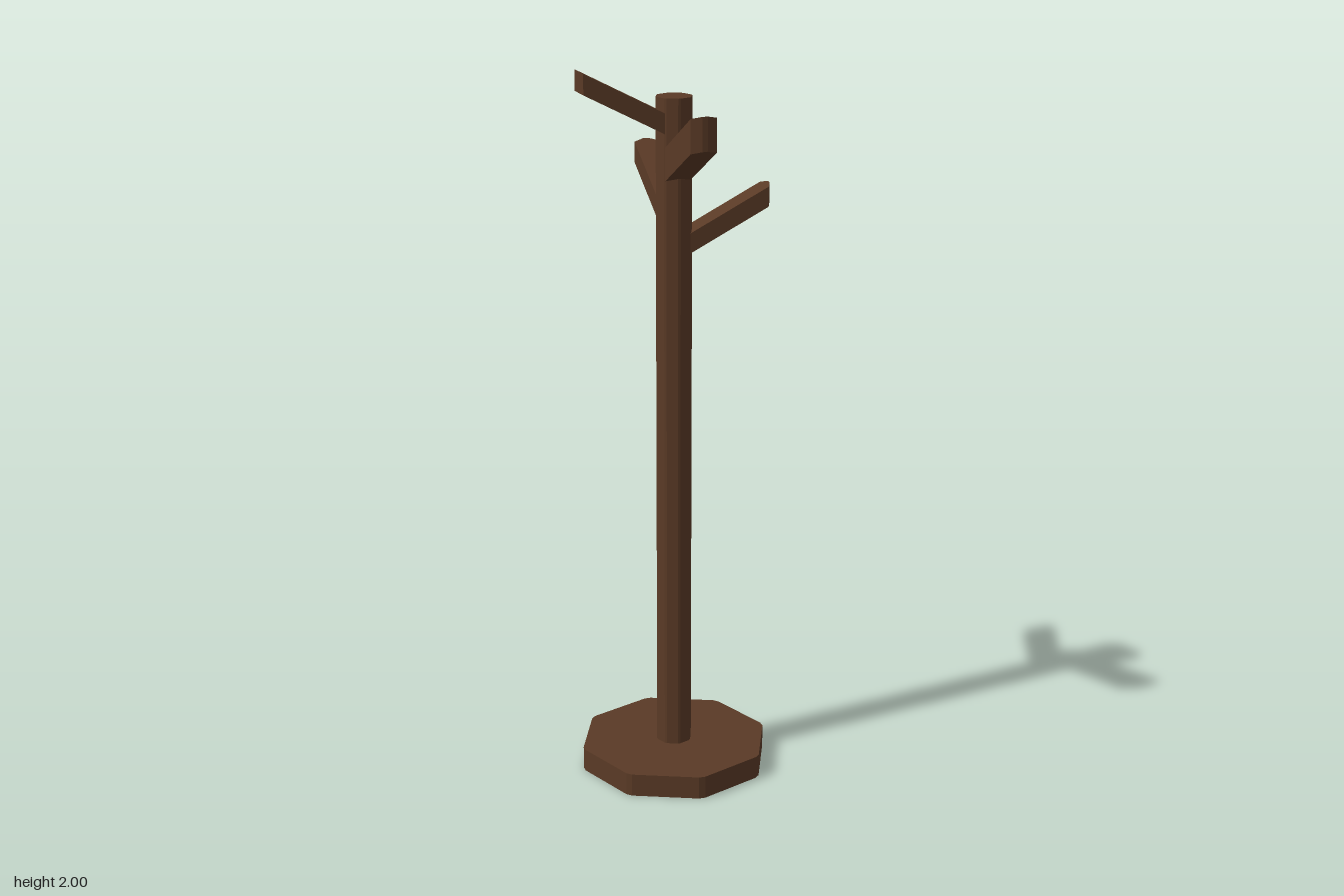
import * as THREE from 'three';

// Prism standing on y = bottom, from a plan outline of [x, z] points
function prism(points, bottom, height) {
  const shape = new THREE.Shape(points.map(([x, z]) => new THREE.Vector2(x, -z)));
  const geo = new THREE.ExtrudeGeometry(shape, { depth: height, bevelEnabled: false });
  geo.rotateX(-Math.PI / 2);
  geo.translate(0, bottom, 0);
  return geo;
}

// Octagon with corners on the axes, each corner clipped by a small cut
function octagon(radius, cut) {
  const corner = (i) => {
    const a = (i * Math.PI) / 4;
    return new THREE.Vector2(Math.cos(a) * radius, Math.sin(a) * radius);
  };
  const points = [];
  for (let i = 0; i < 8; i++) {
    for (const side of [-1, 1]) {
      const p = corner(i);
      p.addScaledVector(corner(i + side).sub(p).normalize(), cut);
      points.push([p.x, p.y]);
    }
  }
  return points;
}

// Sloping peg pointing along +x, with upright ends and a blunt pointed tip
function pegGeometry(rootY, height) {
  const outline = [
    [0.02, -0.035], [0.255, -0.035], [0.267, -0.007],
    [0.267, 0.007], [0.255, 0.035], [0.02, 0.035],
  ];
  const geo = prism(outline, rootY, height);
  const pos = geo.attributes.position;
  for (let i = 0; i < pos.count; i++) {
    pos.setY(i, pos.getY(i) + (pos.getX(i) - 0.04) * 0.515);
  }
  geo.computeVertexNormals();
  return geo;
}

export function createModel() {
  const group = new THREE.Group();
  const wood = new THREE.MeshStandardMaterial({ color: 0x5a3a26 });
  wood.name = 'darkWood';

  const add = (name, geo) => {
    const mesh = new THREE.Mesh(geo, wood);
    mesh.name = name;
    group.add(mesh);
    return mesh;
  };

  // Foot and upright
  add('base', prism(octagon(0.271, 0.01), 0, 0.065));
  add('pole', prism(octagon(0.051, 0.004), 0.06, 1.86));

  // Four pegs, each at its own height: [name, turn, root height, thickness]
  const pegs = [
    ['leftPeg', 0, 1.503, 0.055],
    ['backPeg', Math.PI / 2, 1.585, 0.058],
    ['rightPeg', Math.PI, 1.828, 0.055],
    ['frontPeg', -Math.PI / 2, 1.703, 0.09],
  ];
  for (const [name, turn, rootY, height] of pegs) {
    add(name, pegGeometry(rootY, height)).rotation.y = turn;
  }

  return group;
}
